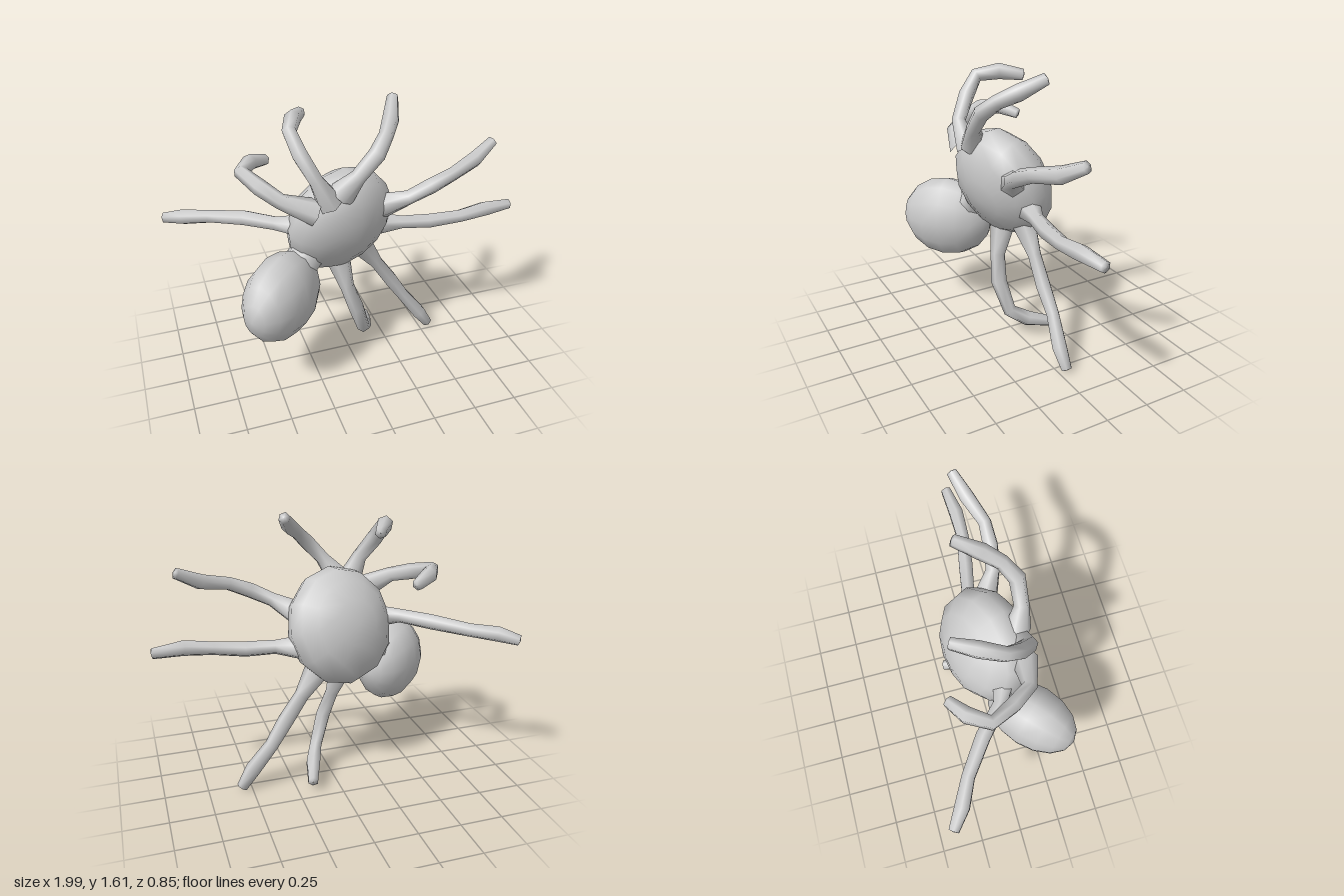
import * as THREE from 'three';
import { mergeVertices } from 'three/addons/utils/BufferGeometryUtils.js';

const material = new THREE.MeshStandardMaterial({ color: 0xcccccc });

// Weld seams so that the low-poly surfaces shade smoothly
function smooth(geometry) {
  geometry.deleteAttribute('uv');
  geometry.deleteAttribute('normal');
  const welded = mergeVertices(geometry, 1e-5);
  welded.computeVertexNormals();
  return welded;
}

function addMesh(parent, name, geometry) {
  const mesh = new THREE.Mesh(smooth(geometry), material);
  mesh.name = name;
  parent.add(mesh);
  return mesh;
}

// Low-poly ellipsoid whose local z axis points along dir, with radii across, up and along it
function ellipsoid(parent, name, center, radii, dir) {
  const geometry = new THREE.SphereGeometry(1.02, 12, 8);
  geometry.rotateX(Math.PI / 2);
  geometry.scale(...radii);
  const mesh = addMesh(parent, name, geometry);
  mesh.position.set(...center);
  mesh.lookAt(new THREE.Vector3(...center).add(new THREE.Vector3(...dir)));
  return mesh;
}

// Tube with one ring per path point and its own radius at each ring
function limb(parent, name, points, radii, sides = 6) {
  const path = points.map((p) => new THREE.Vector3(...p));
  // Extra point just past the tip closes the end
  const n = path.length;
  const out = path[n - 1].clone().sub(path[n - 2]).normalize();
  path.push(path[n - 1].clone().addScaledVector(out, 0.006));
  const curve = new THREE.CatmullRomCurve3(path);
  curve.getPointAt = curve.getPoint;
  curve.getTangentAt = curve.getTangent;
  const geometry = new THREE.TubeGeometry(curve, n, 1, sides);
  const position = geometry.attributes.position;
  const v = new THREE.Vector3();
  for (let i = 0; i < position.count; i++) {
    const ring = Math.floor(i / (sides + 1));
    const radius = ring < n ? radii[ring] : 0.001;
    v.fromBufferAttribute(position, i).sub(path[ring]).multiplyScalar(radius).add(path[ring]);
    position.setXYZ(i, v.x, v.y, v.z);
  }
  return addMesh(parent, name, geometry);
}

// Leg paths from body to tip
const legs = {
  rightLowerLeg: [[-0.26, 0.95, 0.07], [-0.42, 0.96, 0], [-0.56, 0.95, -0.13], [-0.74, 0.925, -0.26], [-0.88, 0.91, -0.33], [-0.98, 0.885, -0.4]],
  rightMiddleLeg: [[-0.24, 1.09, 0.18], [-0.42, 1.17, 0.15], [-0.5, 1.21, 0.04], [-0.57, 1.25, -0.09], [-0.5, 1.25, -0.2], [-0.4, 1.22, -0.27]],
  rightUpperLeg: [[-0.16, 1.13, 0.18], [-0.24, 1.28, 0.2], [-0.3, 1.4, 0.12], [-0.33, 1.5, 0.04], [-0.28, 1.52, -0.08], [-0.21, 1.5, -0.2]],
  topLeg: [[-0.1, 1.17, 0.18], [-0.02, 1.28, 0.22], [0.08, 1.39, 0.22], [0.15, 1.46, 0.16], [0.21, 1.51, 0.07], [0.27, 1.58, -0.06]],
  leftUpperLeg: [[0.17, 1.01, 0.08], [0.3, 1.08, 0.16], [0.42, 1.14, 0.18], [0.54, 1.19, 0.18], [0.7, 1.23, 0.12], [0.83, 1.3, 0.07]],
  leftMiddleLeg: [[0.17, 0.84, -0.02], [0.32, 0.845, 0.02], [0.48, 0.84, 0.05], [0.66, 0.855, 0.08], [0.82, 0.875, 0.08], [0.99, 0.87, 0.06]],
  leftLowerLeg: [[0.09, 0.71, -0.04], [0.19, 0.56, -0.05], [0.29, 0.41, -0.05], [0.38, 0.27, -0.06], [0.49, 0.12, -0.04], [0.56, 0.015, -0.045]],
  bottomLeg: [[-0.07, 0.69, 0.01], [-0.03, 0.5, 0.07], [0.02, 0.35, 0.09], [0.08, 0.17, 0.05], [0.125, 0.11, -0.05], [0.17, 0.07, -0.2]],
};

export function createModel() {
  const model = new THREE.Group();
  model.name = 'spider';

  // Flattened body tilted forward at the top
  ellipsoid(model, 'body', [-0.06, 0.935, 0.015], [0.32, 0.335, 0.2], [0.3, -0.37, 1]);

  // Abdomen, long from the body outward, joined by a narrow waist
  ellipsoid(model, 'abdomen', [-0.45, 0.615, 0.195], [0.175, 0.245, 0.275], [-0.74, 0, 0.67]);
  limb(model, 'waist',
    [[-0.15, 0.86, 0.02], [-0.25, 0.79, 0.06], [-0.32, 0.735, 0.1], [-0.42, 0.65, 0.16]],
    [0.15, 0.1, 0.1, 0.13], 8);

  // Eight knobbly legs, flared where they leave the body
  const legRadii = [0.075, 0.042, 0.046, 0.04, 0.046, 0.032];
  const legGroup = new THREE.Group();
  legGroup.name = 'legs';
  for (const [name, points] of Object.entries(legs)) limb(legGroup, name, points, legRadii);
  model.add(legGroup);

  return model;
}
